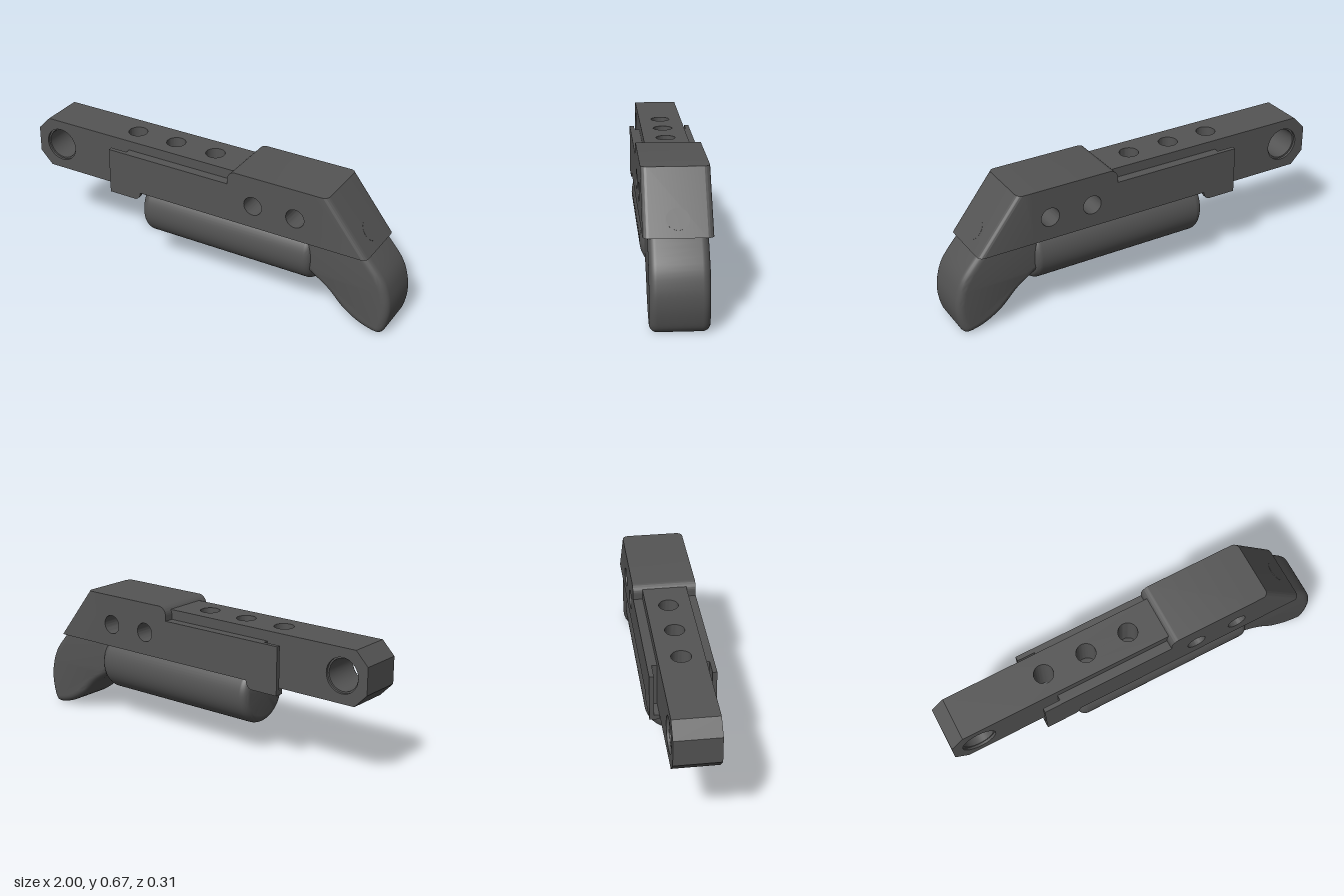
import * as THREE from 'three';
import { toCreasedNormals } from 'three/addons/utils/BufferGeometryUtils.js';

const material = new THREE.MeshStandardMaterial({ color: 0x545454 });

function polygon(points) {
  return new THREE.Shape(points.map(([x, y]) => new THREE.Vector2(x, y)));
}

function addHole(shape, x, y, r) {
  shape.holes.push(new THREE.Path().absarc(x, y, r, 0, Math.PI * 2, true));
}

// Extrude a side profile along z, from z0 to z1
function extrudeZ(shape, z0, z1) {
  const g = new THREE.ExtrudeGeometry(shape, { depth: z1 - z0, bevelEnabled: false, curveSegments: 24 });
  return toCreasedNormals(g.translate(0, 0, z0), 0.6);
}

// Extrude a plan outline upwards, from y0 to y1
function extrudeY(shape, y0, y1) {
  const g = new THREE.ExtrudeGeometry(shape, { depth: y1 - y0, bevelEnabled: false, curveSegments: 24 });
  return g.rotateX(-Math.PI / 2).translate(0, y0, 0);
}

export function createModel() {
  const group = new THREE.Group();
  const add = (name, geometry) => {
    const mesh = new THREE.Mesh(geometry, material);
    mesh.name = name;
    group.add(mesh);
    return mesh;
  };

  const halfBar = 0.11, plateInner = 0.135, halfBody = 0.157;
  const bodyBottom = 0.402, bodyTop = 0.672, plateTop = 0.602, lugBottom = 0.361;

  // Chamfered bar end with a large cross hole
  const end = polygon([[-0.6, 0.385], [-0.6, 0.652], [-0.935, 0.652], [-1, 0.585], [-1, 0.452], [-0.935, 0.385]]);
  addHole(end, -0.865, 0.519, 0.086);
  add('barEnd', extrudeZ(end, -halfBar, halfBar));

  // Thin bushing set just inside the cross hole
  const ring = new THREE.Shape().absarc(-0.865, 0.519, 0.086, 0, Math.PI * 2);
  addHole(ring, -0.865, 0.519, 0.078);
  add('crossHoleBushing', extrudeZ(ring, -halfBar + 0.012, halfBar - 0.012));

  // Bar body with three vertical holes
  const bar = polygon([[-0.6, -halfBar], [0.16, -halfBar], [0.16, halfBar], [-0.6, halfBar]]);
  for (const x of [-0.46, -0.235, -0.01]) addHole(bar, x, 0, 0.048);
  add('barBody', toCreasedNormals(extrudeY(bar, 0.385, 0.652), 0.6));

  // Side plates: a thin outer skin with a lug, standing off the bar at its free end
  const plate = new THREE.Shape();
  plate.moveTo(-0.535, lugBottom);
  plate.lineTo(-0.385, lugBottom);
  plate.quadraticCurveTo(-0.36, lugBottom + 0.005, -0.355, bodyBottom);
  plate.lineTo(0.15, bodyBottom);
  plate.lineTo(0.15, plateTop);
  plate.lineTo(-0.535, plateTop);
  // Filler between skin and bar, with a low floor across the end slot
  const filler = polygon([[-0.535, lugBottom], [-0.385, lugBottom], [-0.36, bodyBottom], [0.15, bodyBottom],
    [0.15, plateTop], [-0.445, plateTop], [-0.445, 0.385], [-0.535, 0.385]]);
  const addPair = (name, shape, inner, outer) => {
    add(name + 'Front', extrudeZ(shape, inner, outer));
    add(name + 'Back', extrudeZ(shape, -outer, -inner));
  };
  addPair('sidePlate', plate, plateInner, halfBody);
  addPair('plateFiller', filler, halfBar, plateInner);

  // Main block with two cross holes and a rounded step at its top
  const block = new THREE.Shape();
  block.moveTo(0.145, bodyBottom);
  block.lineTo(0.6, bodyBottom);
  block.lineTo(0.6, bodyTop);
  block.lineTo(0.19, bodyTop);
  block.absarc(0.19, bodyTop - 0.045, 0.045, Math.PI / 2, Math.PI, false);
  for (const x of [0.286, 0.511]) addHole(block, x, 0.519, 0.048);
  add('mainBlock', extrudeZ(block, -halfBody, halfBody));

  // Sloped nose: rounded plan outline, sheared back with height
  const slope = 0.21 / (bodyTop - bodyBottom), r = 0.03, noseX = 0.884;
  const plan = new THREE.Shape();
  plan.moveTo(0.6, halfBody);
  plan.lineTo(0.6, -halfBody);
  plan.absarc(noseX - r, -halfBody + r, r, -Math.PI / 2, 0, false);
  plan.absarc(noseX - r, halfBody - r, r, 0, Math.PI / 2, false);
  const nose = extrudeY(plan, bodyBottom, bodyTop);
  const p = nose.attributes.position;
  for (let i = 0; i < p.count; i++) {
    if (p.getX(i) > 0.61) p.setX(i, p.getX(i) - slope * (p.getY(i) - bodyBottom));
  }
  add('slopedNose', toCreasedNormals(nose, 0.6));

  // Round plug nearly flush with the slope
  const plug = add('slopePlug', new THREE.CylinderGeometry(0.053, 0.053, 0.02, 40));
  plug.position.set(noseX - slope * (0.474 - bodyBottom) - 0.007, 0.474 - 0.006, 0);
  plug.rotation.z = -Math.PI / 2 + Math.atan(slope);

  // Round-edged cylinder slung under the housing
  const radius = 0.157, fillet = 0.04, x0 = -0.353, x1 = 0.595;
  const profile = [new THREE.Vector2(0, x0)];
  for (const [centre, start] of [[x0 + fillet, -Math.PI / 2], [x1 - fillet, 0]]) {
    for (let i = 0; i <= 8; i++) {
      const a = start + (i / 8) * Math.PI / 2;
      profile.push(new THREE.Vector2(radius - fillet + fillet * Math.cos(a), centre + fillet * Math.sin(a)));
    }
  }
  profile.push(new THREE.Vector2(0, x1));
  const cylinder = new THREE.LatheGeometry(profile, 64).rotateZ(-Math.PI / 2).translate(0, 0.299, 0);
  add('underCylinder', toCreasedNormals(cylinder, 0.6));

  // Curved grip with rounded edges, its root buried in the housing
  const grip = new THREE.Shape();
  grip.moveTo(0.56, 0.45);
  grip.lineTo(0.56, 0.24);
  grip.splineThru([[0.6, 0.215], [0.68, 0.16], [0.76, 0.08], [0.85, 0.024], [0.937, -0.001],
    [0.971, 0.012], [0.989, 0.057], [1.0, 0.13], [0.992, 0.21], [0.958, 0.3], [0.872, 0.405]]
    .map(([x, y]) => new THREE.Vector2(x, y)));
  grip.lineTo(0.83, 0.45);
  const b = 0.036, halfGrip = 0.135;
  const gripGeometry = new THREE.ExtrudeGeometry(grip, {
    depth: 2 * (halfGrip - b), bevelThickness: b, bevelSize: b, bevelOffset: -b, bevelSegments: 6, curveSegments: 4,
  }).translate(0, 0, -(halfGrip - b));
  add('grip', toCreasedNormals(gripGeometry, 0.7));

  return group;
}
